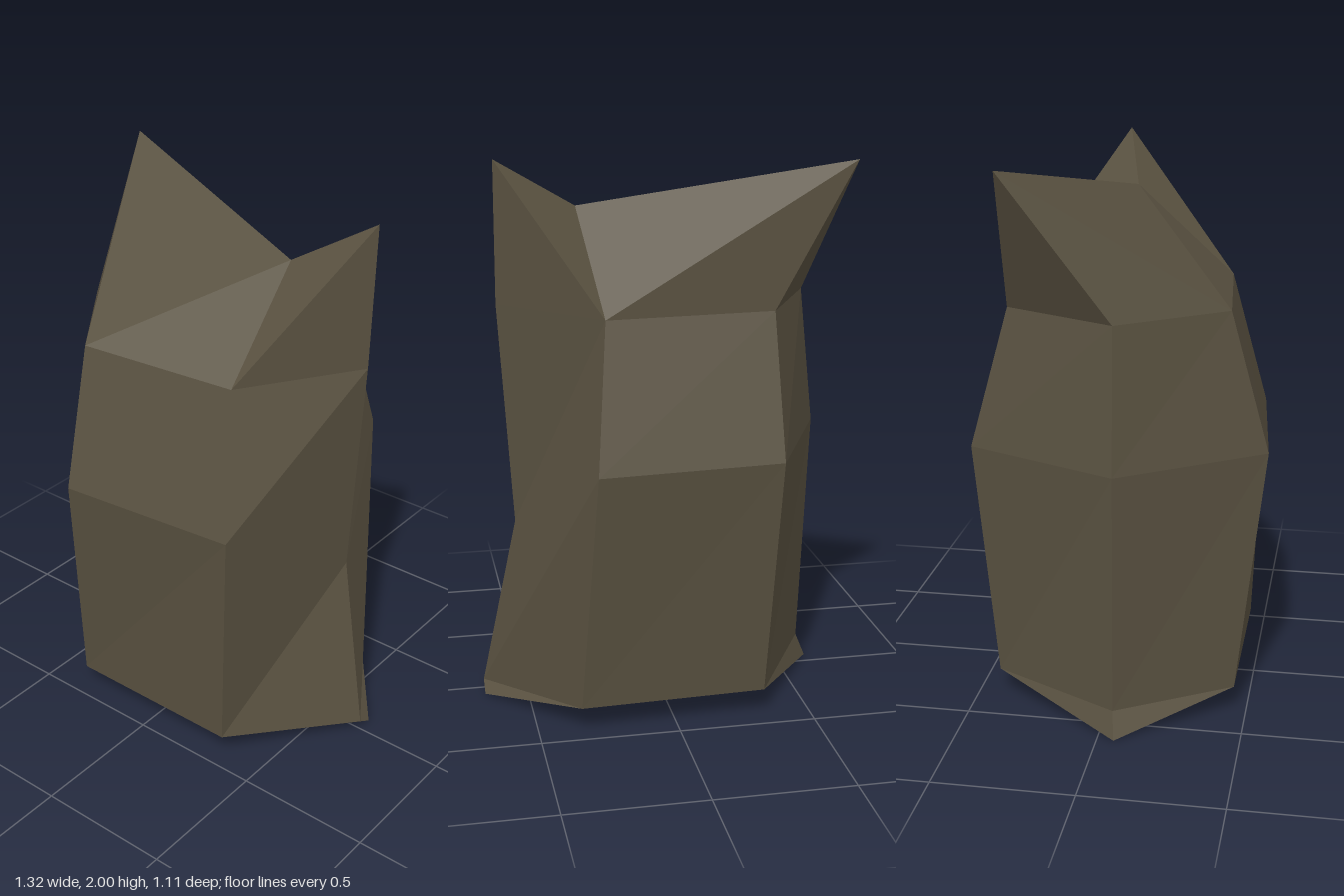
import * as THREE from 'three';

// Flat-shaded boulder: three six-sided rings joined by walls, with a peaked crown and a keeled base.
export function createModel() {
  const stone = new THREE.MeshStandardMaterial({ color: 0x595140, flatShading: true });
  stone.name = 'stone';

  // Each ring runs front left, front right, right, back right, back left, left
  const rings = [
    [[-0.33, 0.095, 0.455], [0.35, 0.095, 0.455], [0.66, 0.035, 0], [0.347, 0.095, -0.45], [-0.33, 0.095, -0.42], [-0.585, 0.095, 0.05]],
    [[-0.275, 0.98, 0.553], [0.395, 0.98, 0.49], [0.53, 0.68, -0.05], [0.295, 0.98, -0.553], [-0.37, 0.98, -0.495], [-0.625, 0.98, 0.057]],
    [[-0.29, 1.49, 0.415], [0.315, 1.49, 0.36], [0.58, 1.49, -0.05], [0.245, 1.49, -0.41], [-0.36, 1.49, -0.355], [-0.57, 1.49, 0.05]],
  ];

  const group = new THREE.Group();
  const addPart = (name, triangles) => {
    const geometry = new THREE.BufferGeometry();
    geometry.setAttribute('position', new THREE.Float32BufferAttribute(triangles.flat(2), 3));
    geometry.computeVertexNormals();
    const mesh = new THREE.Mesh(geometry, stone);
    mesh.name = name;
    group.add(mesh);
  };

  // Walls between neighbouring rings
  const walls = [];
  for (let r = 0; r < rings.length - 1; r++) {
    const [lower, upper] = [rings[r], rings[r + 1]];
    for (let i = 0; i < 6; i++) {
      const j = (i + 1) % 6;
      walls.push([lower[i], lower[j], upper[j]], [lower[i], upper[j], upper[i]]);
    }
  }
  addPart('rockSides', walls);

  // Crown: two peaks with a saddle between them
  const tall = [-0.66, 2, -0.315], side = [0.58, 2, -0.075], saddle = [0.285, 1.825, 0];
  const [fl, fr, r, br, bl, l] = rings[2];
  addPart('rockCrown', [
    [saddle, fl, fr], [saddle, fr, side], [fr, r, side], [r, br, side], [saddle, side, br],
    [tall, saddle, br], [tall, br, bl], [tall, bl, l], [tall, l, fl], [tall, fl, saddle],
  ]);

  // Base: a shallow keel running from side to side
  const keelL = [0.66, 0, -0.06], keelR = [-0.625, 0, 0.06];
  const [bfl, bfr, bR, bbr, bbl, bL] = rings[0];
  addPart('rockBase', [
    [bfr, bfl, keelL], [bfl, keelR, keelL], [bfl, bL, keelR], [bL, bbl, keelR],
    [bbl, bbr, keelL], [bbl, keelL, keelR], [bbr, bR, keelL], [bR, bfr, keelL],
  ]);

  return group;
}
